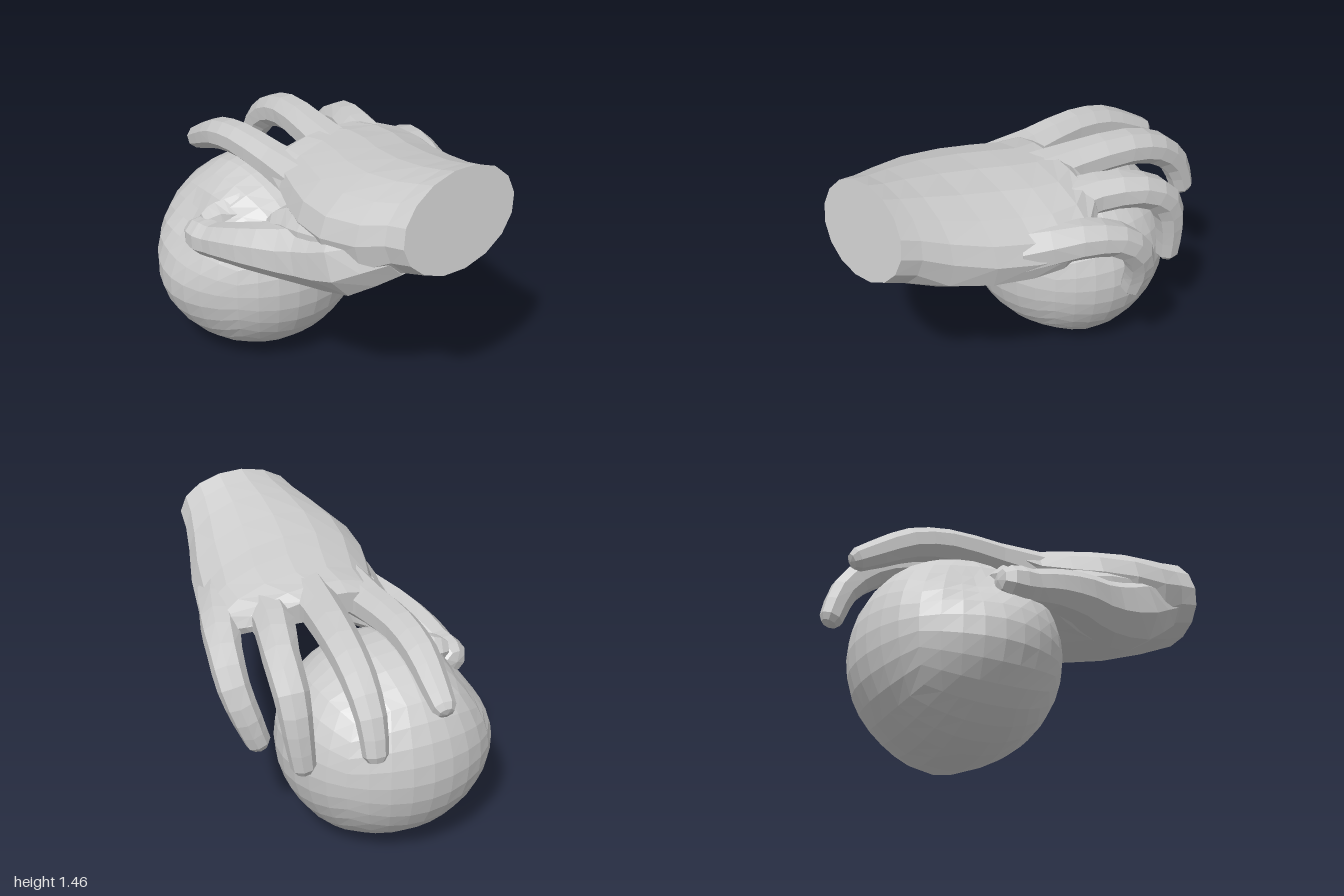
import * as THREE from 'three';
import { mergeVertices } from 'three/addons/utils/BufferGeometryUtils.js';

const V = (x, y, z) => new THREE.Vector3(x, y, z);
const material = new THREE.MeshStandardMaterial({ color: 0xcccccc, flatShading: true });

function part(name, geometry) {
  geometry.computeVertexNormals();
  const mesh = new THREE.Mesh(geometry, material);
  mesh.name = name;
  return mesh;
}

// Skin a list of equal-length rings and close both ends; faces are turned outward.
function loft(rings, endTip) {
  const n = rings[0].length;
  const verts = rings.flat();
  const average = (ring) => ring.reduce((s, p) => s.add(p), V(0, 0, 0)).divideScalar(n);
  const last = (rings.length - 1) * n;
  const a = verts.push(average(rings[0])) - 1;
  const b = verts.push(endTip || average(rings[rings.length - 1])) - 1;
  const index = [];
  for (let i = 0; i < n; i++) {
    const j = (i + 1) % n;
    for (let r = 0; r < last; r += n) {
      index.push(r + i, r + j, r + n + i, r + j, r + n + j, r + n + i);
    }
    index.push(a, j, i, b, last + i, last + j);
  }
  let volume = 0;
  for (let i = 0; i < index.length; i += 3) {
    const [p, q, s] = [0, 1, 2].map((k) => verts[index[i + k]]);
    volume += p.dot(q.clone().cross(s));
  }
  if (volume < 0) index.reverse();
  const geometry = new THREE.BufferGeometry().setFromPoints(verts);
  geometry.setIndex(index);
  return geometry;
}

// Tapered limb through [x, y, z, radius] points, with a blunt rounded tip.
function limb(points, sides = 8) {
  const curve = new THREE.CatmullRomCurve3(points.map((p) => V(p[0], p[1], p[2])));
  const spans = points.length - 1;
  const steps = spans * 2;
  const rings = [];
  const ringAt = (center, tangent, r) => {
    const side = V(0, 0, 1).addScaledVector(tangent, -tangent.z).normalize();
    const up = side.clone().cross(tangent);
    return Array.from({ length: sides }, (_, k) => {
      const t = ((k + 0.5) / sides) * Math.PI * 2;
      return center.clone().addScaledVector(side, Math.cos(t) * r).addScaledVector(up, Math.sin(t) * r);
    });
  };
  for (let i = 0; i <= steps; i++) {
    const f = (i / steps) * spans;
    const k = Math.min(Math.floor(f), spans - 1);
    const r = THREE.MathUtils.lerp(points[k][3], points[k + 1][3], f - k);
    rings.push(ringAt(curve.getPoint(i / steps), curve.getTangent(i / steps), r));
  }
  const end = curve.getPoint(1);
  const dir = curve.getTangent(1);
  const r = points[spans][3];
  rings.push(ringAt(end.clone().addScaledVector(dir, r * 0.5), dir, r * 0.65));
  return loft(rings, end.clone().addScaledVector(dir, r * 0.65));
}

// Ball: a rounded cube grid, dented on the upper front and fuller at the front and lower back.
function ballGeometry() {
  let g = new THREE.BoxGeometry(2, 2, 2, 8, 8, 8);
  g.deleteAttribute('normal');
  g.deleteAttribute('uv');
  g = mergeVertices(g);
  const pos = g.attributes.position;
  const center = V(-0.41, 0.52, 0.135);
  const bumps = [
    [V(-0.48, 0.8, 0.56), -0.1, 0.05],
    [V(-0.41, 0.45, 0.69), 0.015, 0.03],
    [V(-0.41, 0.07, -0.12), 0.03, 0.03],
  ];
  const p = V(0, 0, 0);
  for (let i = 0; i < pos.count; i++) {
    p.fromBufferAttribute(pos, i);
    p.set(...p.toArray().map((c) => Math.tan((c * Math.PI) / 4))).normalize();
    const out = p.clone();
    p.multiply(V(0.522, 0.522, 0.56)).add(center);
    for (const [at, height, spread] of bumps) {
      p.addScaledVector(out, height * Math.exp(-p.distanceToSquared(at) / spread));
    }
    pos.setXYZ(i, p.x, Math.max(p.y, 0), p.z);
  }
  return g;
}

// Wrist to knuckles: [x, zBack, yBack, zFront, yFront, rise, drop, tilt, cup]
function palmGeometry() {
  const stations = [
    [0.945, -0.385, 1.26, 0.285, 1.19, 0.235, 0.23, 0.22, 0],
    [0.84, -0.4, 1.22, 0.31, 1.17, 0.235, 0.25, 0.15, 0],
    [0.7, -0.44, 1.15, 0.37, 1.12, 0.265, 0.23, 0.05, 0],
    [0.5, -0.51, 1.08, 0.42, 1.09, 0.275, 0.22, 0, 0.06],
    [0.3, -0.56, 1.04, 0.4, 1.08, 0.265, 0.2, 0, 0.09],
    [0.15, -0.6, 1.03, 0.35, 1.08, 0.25, 0.16, 0, 0.1],
    [0, -0.59, 1.05, 0.29, 1.09, 0.21, 0.09, 0, 0.06],
    [-0.12, -0.48, 1.11, 0.26, 1.12, 0.145, 0.06, 0, 0.02],
    [-0.18, -0.38, 1.14, 0.23, 1.13, 0.08, 0.04, 0, 0],
  ];
  const sides = 16;
  const rings = stations.map(([x, zb, yb, zf, yf, rise, drop, tilt, cup], i) =>
    Array.from({ length: sides }, (_, k) => {
      const t = (k / sides) * Math.PI * 2;
      const s = Math.sin(t);
      const u = (Math.cos(t) + 1) / 2;
      // The underside turns from the oval wrist into a hollow palm with full edges
      const dy = s > 0 ? s * rise : s * s * cup - drop * Math.pow(-s, i < 2 ? 1 : 0.55);
      const y = THREE.MathUtils.lerp(yb, yf, u) + dy;
      return V(x - dy * tilt, y, THREE.MathUtils.lerp(zb, zf, u));
    }));
  return loft(rings);
}

const digits = {
  indexFinger: [[0.12, 1.1, 0.16, 0.13], [-0.2, 1.12, 0.17, 0.1], [-0.48, 1.13, 0.18, 0.09],
    [-0.68, 1.09, 0.178, 0.085], [-0.84, 1.01, 0.165, 0.073], [-0.95, 0.95, 0.155, 0.06]],
  middleFinger: [[0.1, 1.15, -0.08, 0.13], [-0.25, 1.17, -0.125, 0.105], [-0.55, 1.16, -0.17, 0.095],
    [-0.74, 1.09, -0.185, 0.087], [-0.88, 0.95, -0.19, 0.075], [-0.94, 0.785, -0.195, 0.062]],
  ringFinger: [[0.1, 1.1, -0.29, 0.13], [-0.2, 1.13, -0.36, 0.105], [-0.42, 1.1, -0.43, 0.092],
    [-0.58, 0.98, -0.45, 0.087], [-0.635, 0.8, -0.445, 0.075], [-0.65, 0.61, -0.425, 0.062]],
  littleFinger: [[0.32, 1.06, -0.42, 0.13], [0.05, 1.07, -0.54, 0.105], [-0.14, 1.02, -0.6, 0.088],
    [-0.27, 0.89, -0.612, 0.082], [-0.325, 0.73, -0.57, 0.075], [-0.335, 0.59, -0.52, 0.064]],
  thumb: [[0.78, 1.08, 0.16, 0.13], [0.52, 0.95, 0.26, 0.195], [0.3, 0.89, 0.34, 0.165],
    [0.1, 0.86, 0.455, 0.13], [-0.08, 0.825, 0.525, 0.105], [-0.2, 0.795, 0.55, 0.092],
    [-0.27, 0.785, 0.555, 0.1], [-0.335, 0.785, 0.56, 0.088]],
  // Flesh joining the thumb to the palm and the root of the index finger
  thumbWeb: [[0.78, 1.12, 0.08, 0.13], [0.5, 1.01, 0.21, 0.205], [0.3, 0.98, 0.28, 0.165],
    [0.16, 0.96, 0.31, 0.12], [0.08, 0.93, 0.35, 0.09]],
};

export function createModel() {
  const model = new THREE.Group();
  model.name = 'handOnBall';
  model.add(part('ball', ballGeometry()));

  // Short tapered stub rising from the dent behind the thumb
  model.add(part('stub', limb([[-0.26, 0.84, 0.31, 0.14], [-0.29, 0.84, 0.42, 0.1], [-0.31, 0.835, 0.5, 0.08]], 6)));

  const hand = new THREE.Group();
  hand.name = 'hand';
  hand.add(part('palm', palmGeometry()));
  for (const [name, points] of Object.entries(digits)) hand.add(part(name, limb(points)));
  model.add(hand);
  return model;
}
